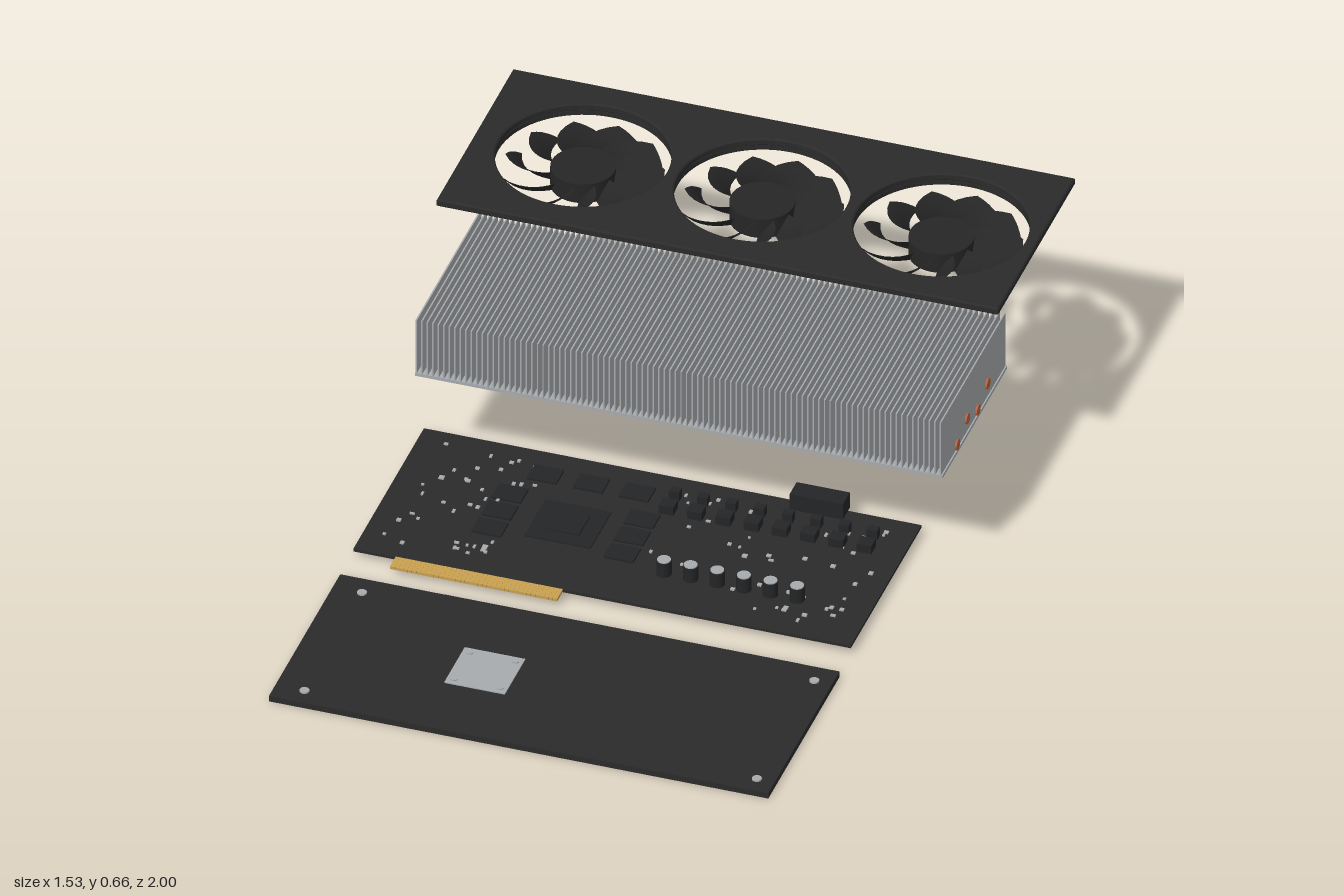
import * as THREE from 'three';
import { mergeGeometries } from 'three/addons/utils/BufferGeometryUtils.js';

const mat = (name, color, side = THREE.FrontSide) => {
  const m = new THREE.MeshStandardMaterial({ color, side });
  m.name = name;
  return m;
};

export function createModel() {
  const black = mat('charcoal', 0x2b2b2b);
  const fanBlack = mat('fan black', 0x262626, THREE.DoubleSide);
  const boardBlack = mat('board black', 0x2a2a2a);
  const partBlack = mat('component black', 0x242526);
  const metal = mat('aluminium', 0xa8abae);
  const copper = mat('copper', 0xb8643f);
  const gold = mat('gold', 0xc8a050);

  const model = new THREE.Group();
  model.name = 'explodedGraphicsCard';

  const group = (name) => {
    const g = new THREE.Group();
    g.name = name;
    model.add(g);
    return g;
  };
  const add = (parent, name, geometry, material) => {
    const m = new THREE.Mesh(geometry, material);
    m.name = name;
    parent.add(m);
    return m;
  };
  // box given by its limits on each axis
  const box = (x0, x1, y0, y1, z0, z1) =>
    new THREE.BoxGeometry(x1 - x0, y1 - y0, z1 - z0)
      .translate((x0 + x1) / 2, (y0 + y1) / 2, (z0 + z1) / 2);
  // upright cylinder from y0 to y1
  const post = (x, z, r, y0, y1, sides = 20) =>
    new THREE.CylinderGeometry(r, r, y1 - y0, sides).translate(x, (y0 + y1) / 2, z);

  // ---- Fan shroud: plate with three round openings ----
  const fanX = [-0.47, 0.018, 0.506];
  const fanZ = -0.69;
  const shroud = group('fanShroud');
  const b = 0.004;
  const outline = new THREE.Shape();
  outline.moveTo(-0.765 + b, -0.31 + b);
  outline.lineTo(0.765 - b, -0.31 + b);
  outline.lineTo(0.765 - b, 0.31 - b);
  outline.lineTo(-0.765 + b, 0.31 - b);
  outline.closePath();
  for (const x of fanX) {
    outline.holes.push(new THREE.Path().absarc(x, 0, 0.228 + b, 0, Math.PI * 2, true));
  }
  const plate = new THREE.ExtrudeGeometry(outline, {
    depth: 0.022 - 2 * b, bevelThickness: b, bevelSize: b, bevelSegments: 1, curveSegments: 48,
  });
  plate.rotateX(-Math.PI / 2).translate(0, 0.638 + b, fanZ);
  add(shroud, 'shroudPlate', plate, black);

  // ---- Fans: hub, swept pitched blades and a rim under the plate ----
  const bladeCount = 11;
  const bladeGeometry = () => {
    const g = new THREE.PlaneGeometry(1, 1, 5, 8);
    const p = g.attributes.position;
    for (let i = 0; i < p.count; i++) {
      const u = p.getX(i) + 0.5; // across the chord
      const t = p.getY(i) + 0.5; // hub to tip
      const r = 0.075 + 0.136 * t;
      const a = 0.48 * t * t + (u - 0.5) * (0.5 - 0.08 * t);
      const y = 0.618 - u * 0.052 + 0.006 * Math.sin(Math.PI * u);
      p.setXYZ(i, r * Math.cos(a), y, r * Math.sin(a));
    }
    g.computeVertexNormals();
    return g;
  };
  const rimShape = new THREE.Shape().absarc(0, 0, 0.242, 0, Math.PI * 2, false);
  rimShape.holes.push(new THREE.Path().absarc(0, 0, 0.23, 0, Math.PI * 2, true));
  for (const x of fanX) {
    const fan = group('fan');
    fan.position.set(x, 0, fanZ);
    const blades = [];
    for (let i = 0; i < bladeCount; i++) {
      blades.push(bladeGeometry().rotateY((i * Math.PI * 2) / bladeCount));
    }
    add(fan, 'blades', mergeGeometries(blades), fanBlack);
    add(fan, 'hub', post(0, 0, 0.085, 0.568, 0.626, 36), fanBlack);
    const rim = new THREE.ExtrudeGeometry(rimShape, { depth: 0.013, bevelEnabled: false, curveSegments: 36 });
    add(fan, 'rim', rim.rotateX(-Math.PI / 2).translate(0, 0.625, 0), black);
  }

  // ---- Heatsink: base, fin stack, heat pipes and contact block ----
  const sink = group('heatsink');
  add(sink, 'basePlate', box(-0.717, 0.72, 0.325, 0.334, -0.585, -0.065), metal);
  const fins = [];
  const finCount = 96;
  for (let i = 0; i < finCount; i++) {
    const x = -0.714 + (1.428 * i) / (finCount - 1);
    fins.push(box(x - 0.002, x + 0.002, 0.334, 0.5, -0.585, -0.065));
  }
  add(sink, 'fins', mergeGeometries(fins), metal);
  [[-0.19, 0.348], [-0.27, 0.377], [-0.355, 0.348], [-0.435, 0.377]].forEach(([z, y]) => {
    const pipe = new THREE.CylinderGeometry(0.015, 0.015, 1.442, 16).rotateZ(Math.PI / 2);
    add(sink, 'heatPipe', pipe.translate(0, y, z), copper);
  });
  add(sink, 'contactBlock', box(-0.335, -0.19, 0.317, 0.325, -0.392, -0.247), copper);
  add(sink, 'contactFace', box(-0.325, -0.2, 0.312, 0.317, -0.382, -0.257), copper);

  // ---- Circuit board ----
  const board = group('circuitBoard');
  const top = 0.027;
  add(board, 'boardPlate', box(-0.755, 0.6, 0.019, top, -0.25, 0.32), boardBlack);
  const fingers = [];
  for (let i = 0; i < 38; i++) {
    const x = -0.64 + i * 0.012;
    fingers.push(box(x, x + 0.0112, 0.0195, 0.0275, 0.318, 0.365));
  }
  add(board, 'edgeContacts', mergeGeometries(fingers), gold);
  add(board, 'edgeTab', box(-0.64, -0.185, 0.02, 0.027, 0.318, 0.363), gold);

  // processor package with raised frame and die
  add(board, 'processorPackage', box(-0.355, -0.175, top, 0.031, -0.045, 0.125), partBlack);
  add(board, 'processorDie', box(-0.31, -0.22, 0.031, 0.036, -0.005, 0.085), partBlack);

  // memory chips around the processor
  const chips = [];
  const chip = (x, z) => chips.push(box(x - 0.04, x + 0.04, top, 0.033, z - 0.032, z + 0.032));
  for (const x of [-0.39, -0.265, -0.14]) chip(x, -0.15);
  for (const z of [-0.04, 0.04, 0.12]) {
    chip(-0.45, z);
    chip(-0.09, z);
  }
  add(board, 'memoryChips', mergeGeometries(chips), partBlack);

  // power stage: chokes with a row of switches behind
  const chokes = [], switches = [];
  for (let i = 0; i < 8; i++) {
    const x = -0.04 + i * 0.077;
    chokes.push(box(x - 0.02, x + 0.02, top, 0.052, -0.122, -0.084));
    switches.push(box(x - 0.014, x + 0.014, top, 0.055, -0.172, -0.148));
  }
  add(board, 'chokes', mergeGeometries(chokes), partBlack);
  add(board, 'powerSwitches', mergeGeometries(switches), partBlack);
  add(board, 'powerSocket', box(0.255, 0.4, top, 0.075, -0.265, -0.208), partBlack);

  // capacitors with bright caps
  for (let i = 0; i < 6; i++) {
    const x = 0.04 + i * 0.0725;
    add(board, 'capacitorBody', post(x, 0.168, 0.02, top, 0.07), partBlack);
    add(board, 'capacitorCap', post(x, 0.168, 0.018, 0.07, 0.073), metal);
  }

  // scattered tiny surface parts
  let seed = 7;
  const rnd = () => (seed = (seed * 16807) % 2147483647) / 2147483647;
  const specks = [];
  while (specks.length < 100) {
    const left = specks.length < 50;
    const x = left ? -0.7 + rnd() * 0.3 : -0.05 + rnd() * 0.6;
    const z = -0.2 + rnd() * 0.47;
    const w = 0.003 + rnd() * 0.004, d = 0.003 + rnd() * 0.004;
    specks.push(box(x - w, x + w, top, top + 0.004, z - d, z + d));
  }
  add(board, 'smallParts', mergeGeometries(specks), metal);

  // ---- Backplate with pad and screws ----
  const back = group('backplate');
  add(back, 'backplatePanel', box(-0.755, 0.605, 0, 0.017, 0.425, 1), black);
  add(back, 'backplateLip', box(-0.47, 0.5, 0.004, 0.013, 0.419, 0.425), black);
  add(back, 'thermalPad', box(-0.345, -0.18, 0.017, 0.02, 0.635, 0.8), metal);
  for (const x of [-0.675, 0.557]) {
    for (const z of [0.487, 0.95]) add(back, 'screw', post(x, z, 0.013, 0.017, 0.021, 16), metal);
  }
  for (const x of [-0.325, -0.2]) {
    for (const z of [0.655, 0.78]) add(back, 'padScrew', post(x, z, 0.009, 0.02, 0.023, 12), metal);
  }

  return model;
}
